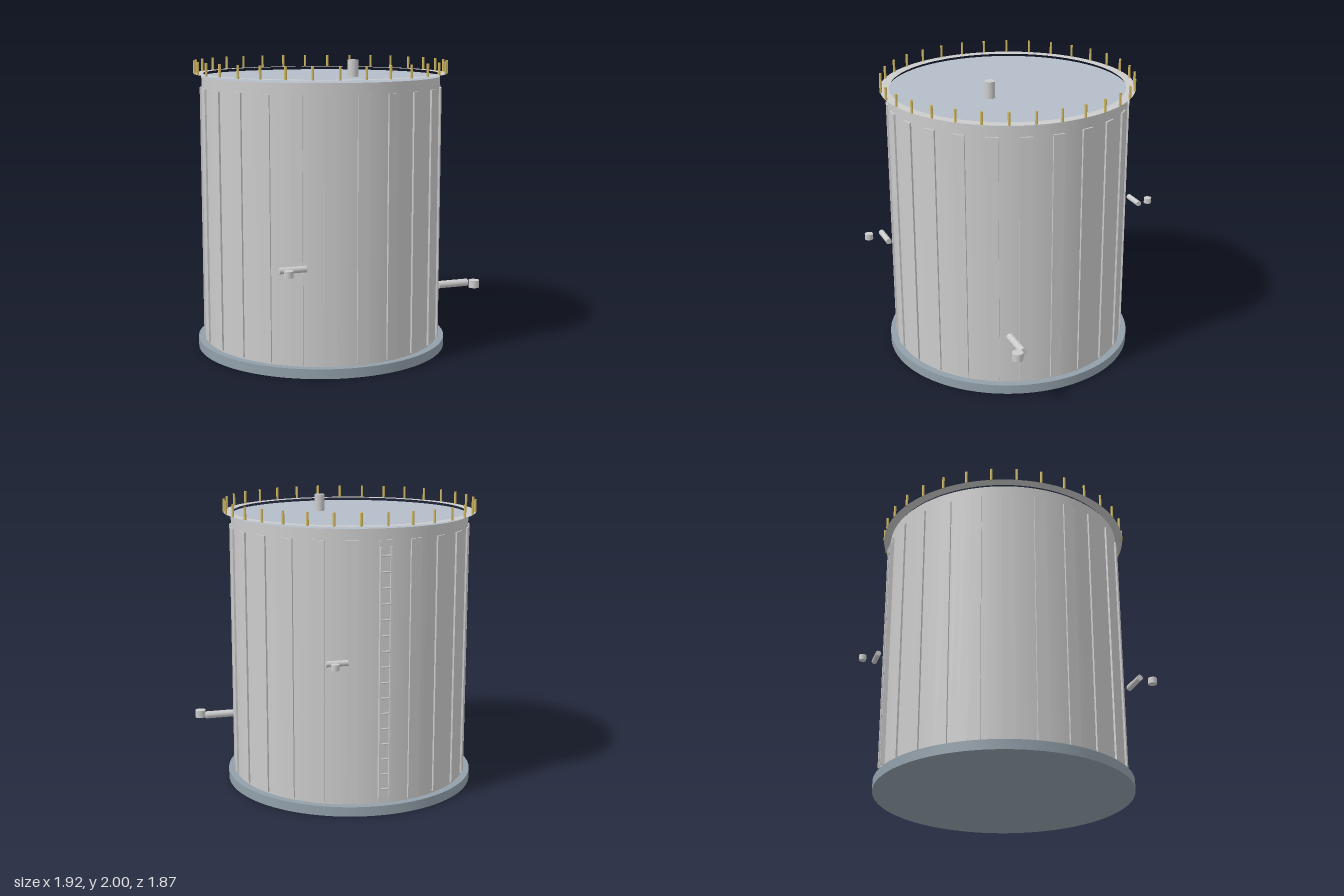
import * as THREE from 'three';

const CX = -0.095, CZ = 0.02; // tank axis

export function createModel() {
  const model = new THREE.Group();
  const mat = (color, side = THREE.FrontSide) => new THREE.MeshStandardMaterial({ color, side });
  const grey = mat(0xcccccc);
  const slate = mat(0x92a0aa);
  const roofGrey = mat(0xb4bec8);
  const yellow = mat(0xd0b860);

  const add = (parent, name, geometry, material, x, y, z) => {
    const mesh = new THREE.Mesh(geometry, material);
    mesh.name = name;
    mesh.position.set(x, y, z);
    parent.add(mesh);
    return mesh;
  };
  const group = (name, x = 0, z = 0) => {
    const g = new THREE.Group();
    g.name = name;
    g.position.set(x, 0, z);
    model.add(g);
    return g;
  };
  // upright cylinder between two heights
  const drum = (parent, name, r, y0, y1, material, x = 0, z = 0, sides = 64) =>
    add(parent, name, new THREE.CylinderGeometry(r, r, y1 - y0, sides), material, x, (y0 + y1) / 2, z);

  // Tank: base, shell and roof
  const tank = group('tank', CX, CZ);
  drum(tank, 'base', 0.867, 0, 0.065, slate, 0, 0, 96);
  add(tank, 'shell', new THREE.CylinderGeometry(0.817, 0.817, 1.82, 96, 1, true), grey, 0, 0.975, 0);
  const roof = add(tank, 'roof', new THREE.CircleGeometry(0.817, 96), roofGrey, 0, 1.885, 0);
  roof.rotation.x = -Math.PI / 2;

  // Flat walkway ring floating just above the roof edge
  const walkway = add(tank, 'walkway', new THREE.RingGeometry(0.803, 0.867, 96),
    mat(0xcccccc, THREE.DoubleSide), 0, 1.905, 0);
  walkway.rotation.x = -Math.PI / 2;

  // Vertical wall panels
  const panels = group('wallPanels', CX, CZ);
  const panelGeo = new THREE.BoxGeometry(0.08, 1.735, 0.022);
  for (let i = 0; i < 24; i++) {
    const a = (i / 24) * Math.PI * 2;
    const panel = add(panels, 'wallPanel', panelGeo, grey, 0.817 * Math.sin(a), 0.945, 0.817 * Math.cos(a));
    panel.rotation.y = a;
  }

  // Railing posts around the walkway
  const railing = group('railing', CX, CZ);
  const postGeo = new THREE.CylinderGeometry(0.0088, 0.0088, 0.086, 8);
  for (let i = 0; i < 32; i++) {
    const a = (i / 32) * Math.PI * 2;
    add(railing, 'railingPost', postGeo, yellow, 0.862 * Math.sin(a), 1.948, 0.862 * Math.cos(a));
  }

  // Roof vent
  drum(model, 'roofVent', 0.036, 1.885, 2, grey, 0.067, 0.217, 24);

  // Ladder on the back wall
  const ladder = group('ladder', CX, CZ - 0.836);
  for (const s of [-1, 1]) {
    add(ladder, 'ladderRail', new THREE.BoxGeometry(0.012, 1.655, 0.018), grey, s * 0.034, 0.943, 0);
  }
  const rungGeo = new THREE.CylinderGeometry(0.006, 0.006, 0.068, 8).rotateZ(Math.PI / 2);
  for (let i = 0; i < 16; i++) {
    add(ladder, 'ladderRung', rungGeo, grey, 0, 0.17 + i * 0.103, 0);
  }

  // Pipes: a stub along x and a short upright outlet beside it
  const pipe = (name, x0, x1, y, z, r, outletX, outletZ, outletR) => {
    const g = group(name);
    const geo = new THREE.CylinderGeometry(r, r, x1 - x0, 20).rotateZ(Math.PI / 2);
    add(g, 'pipeStub', geo, grey, (x0 + x1) / 2, y, z);
    drum(g, 'pipeOutlet', outletR, y - r, y + r, grey, outletX, outletZ, 24);
  };
  pipe('leftPipe', 0.67, 0.892, 0.417, 0.335, 0.026, 0.922, 0.388, 0.037);
  pipe('frontPipe', -0.645, -0.465, 0.721, 0.798, 0.021, -0.614, 0.903, 0.03);
  pipe('backPipe', 0.155, 0.3, 1.041, -0.817, 0.019, 0.264, -0.908, 0.026);

  return model;
}
